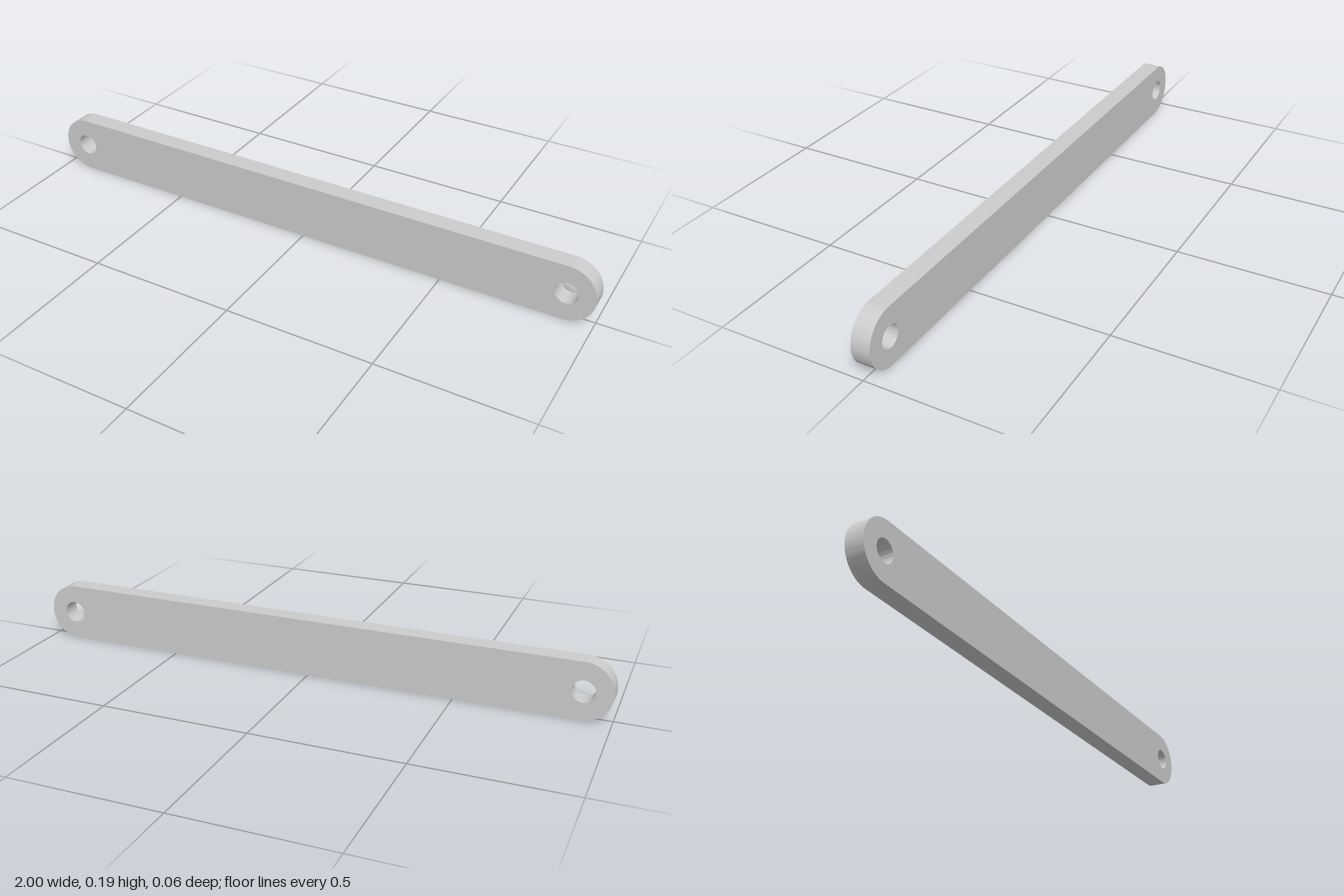
import * as THREE from 'three';
import { toCreasedNormals } from 'three/addons/utils/BufferGeometryUtils.js';

const HEIGHT = 0.195, DEPTH = 0.063, HOLE_X = 0.907, HOLE_R = 0.037;

export function createModel() {
  const group = new THREE.Group();
  group.name = 'linkBar';

  // Bar outline with fully rounded ends
  const r = HEIGHT / 2, cx = 1 - r;
  const outline = new THREE.Shape();
  outline.moveTo(-cx, 0);
  outline.lineTo(cx, 0);
  outline.absarc(cx, r, r, -Math.PI / 2, Math.PI / 2, false);
  outline.lineTo(-cx, HEIGHT);
  outline.absarc(-cx, r, r, Math.PI / 2, Math.PI * 1.5, false);

  // Pin hole through each end
  for (const side of [-1, 1]) {
    const hole = new THREE.Path();
    hole.absarc(side * HOLE_X, r, HOLE_R, 0, Math.PI * 2, true);
    outline.holes.push(hole);
  }

  // Flat plate, smooth around the curves and sharp at the rims
  const plate = new THREE.ExtrudeGeometry(outline, { depth: DEPTH, bevelEnabled: false, curveSegments: 32 });
  plate.translate(0, 0, -DEPTH / 2);
  const bar = new THREE.Mesh(
    toCreasedNormals(plate, Math.PI / 6),
    new THREE.MeshStandardMaterial({ color: 0xcccccc })
  );
  bar.name = 'bar';
  group.add(bar);
  return group;
}
